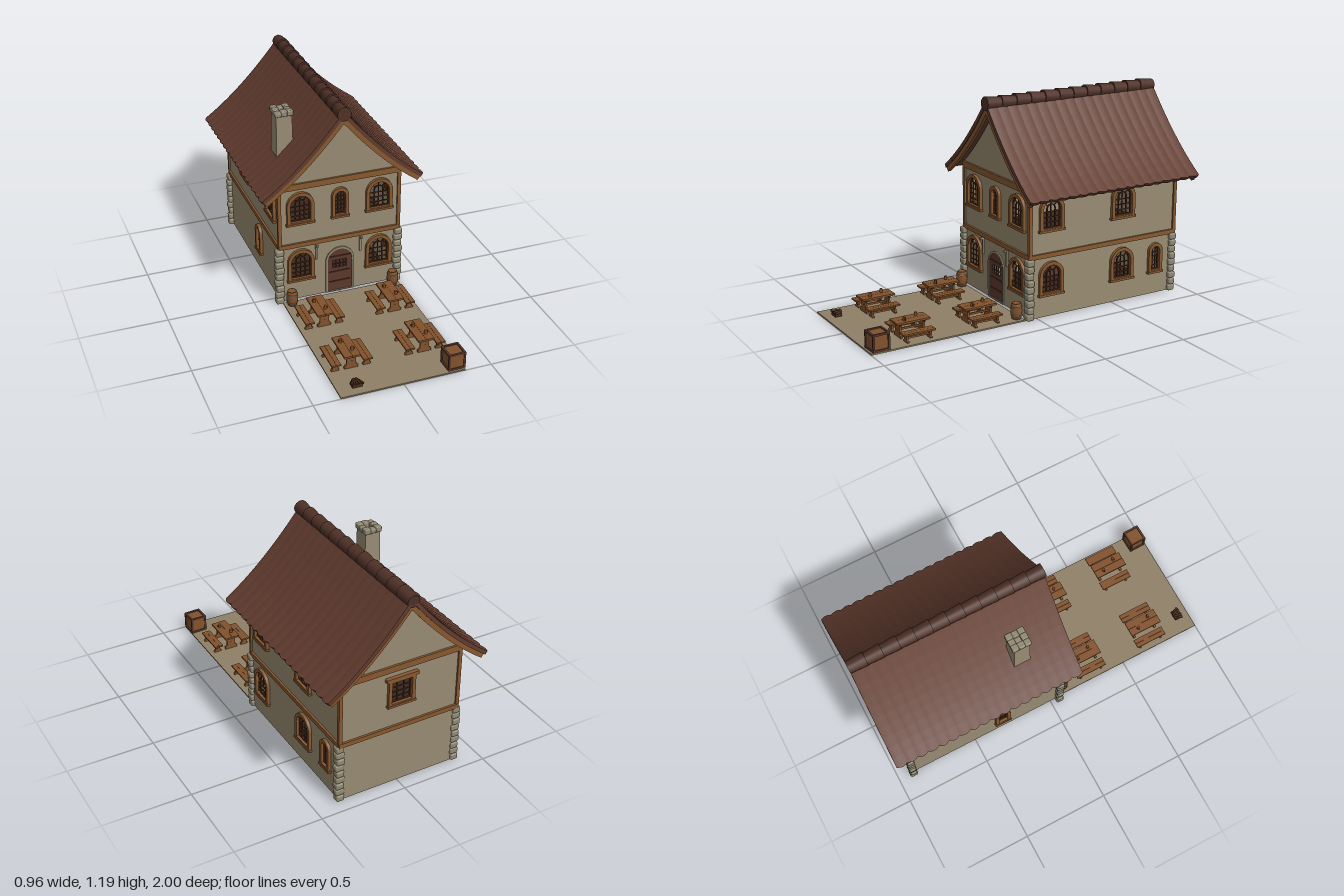
import * as THREE from 'three';
import { RoundedBoxGeometry } from 'three/addons/geometries/RoundedBoxGeometry.js';

const paint = (name, color) => Object.assign(new THREE.MeshStandardMaterial({ color }), { name });
const M = {
  plaster: paint('plaster', 0x988b72), trim: paint('timber trim', 0x87582f), roof: paint('roof tile', 0x623c2f),
  ridge: paint('ridge tile', 0x4e3026), bars: paint('dark wood', 0x4a2b1b), door: paint('door wood', 0x5c382d),
  stone: paint('stone', 0x8f8873), floor: paint('floor', 0x3a251c), ground: paint('ground', 0x8f8066),
  furniture: paint('furniture wood', 0x82522c),
};
const ZC = -0.435, HX = 0.355, HZ = 0.485;

function add(parent, name, geo, mat, x = 0, y = 0, z = 0) {
  const m = new THREE.Mesh(geo, mat);
  m.name = name;
  m.position.set(x, y, z);
  parent.add(m);
  return m;
}
const box = (p, name, mat, w, h, d, x, y, z) => add(p, name, new THREE.BoxGeometry(w, h, d), mat, x, y, z);
function group(parent, name, x = 0, y = 0, z = 0, ry = 0) {
  const g = new THREE.Group();
  g.name = name;
  g.position.set(x, y, z);
  g.rotation.y = ry;
  parent.add(g);
  return g;
}
const extrude = (shape, depth, steps = 1) =>
  new THREE.ExtrudeGeometry(shape, { depth, steps, bevelEnabled: false, curveSegments: 14 });

// Round-headed (or square) opening outline
function opening(w, h, x = 0, y = 0, square = false, P = THREE.Shape) {
  const s = new P(), r = w / 2;
  s.moveTo(x - r, y);
  s.lineTo(x + r, y);
  if (square) { s.lineTo(x + r, y + h); s.lineTo(x - r, y + h); }
  else { s.lineTo(x + r, y + h - r); s.absarc(x, y + h - r, r, 0, Math.PI, false); }
  s.closePath();
  return s;
}
function ring(w, h, t, square) {
  const s = opening(w, h, 0, 0, square);
  s.holes.push(opening(w - 2 * t, h - 2 * t, 0, t, square, THREE.Path));
  return s;
}

// Framed window with glazing bars; origin at the bottom centre
function addWindow(parent, [u, y, w, h, kind]) {
  const g = group(parent, 'window', u, y, 0), t = 0.02, square = kind === 'square';
  add(g, 'windowFrame', extrude(ring(w, h, t, square), 0.03), M.trim, 0, 0, -0.012);
  box(g, 'sill', M.trim, w + 0.01, 0.012, 0.034, 0, 0.006, 0.005);
  if (square) box(g, 'lintel', M.trim, w + 0.03, 0.02, 0.034, 0, h, 0.005);
  const iw = w - 2 * t, ih = h - 2 * t, cy = t + ih - iw / 2;
  add(g, 'barsBorder', extrude(ring(iw, ih, 0.005, square), 0.01), M.bars, 0, t, -0.008);
  const rows = kind ? 4 : 3, top = square ? ih : ih - iw / 2;
  for (let i = 1; i <= rows; i++) box(g, 'crossBar', M.bars, iw, 0.005, 0.006, 0, t + top * i / (rows + 0.4), -0.003);
  if (kind) {
    for (const s of [-1, 1]) box(g, 'uprightBar', M.bars, 0.005, ih - 0.012, 0.006, s * iw / 6, t + ih / 2 - 0.004, -0.003);
  } else {
    add(g, 'innerArch', extrude(ring(iw * 0.5, ih - iw * 0.22, 0.006), 0.008), M.bars, 0, t, -0.005);
    box(g, 'uprightBar', M.bars, 0.005, ih, 0.006, 0, t + ih / 2, -0.003);
    for (const s of [-1, 1]) {
      const b = box(g, 'fanBar', M.bars, 0.005, iw * 0.27, 0.006, s * iw * 0.26, cy + iw * 0.26, -0.003);
      b.rotation.z = -s * Math.PI / 4;
    }
  }
}

// One wall with its openings and windows; local +z faces outwards
function addWall(parent, name, shape, windows, x, z, ry, door) {
  const g = group(parent, name, x, 0, z, ry);
  for (const [u, y, w, h, k] of windows)
    shape.holes.push(opening(w - 0.02, h - 0.02, u, y + 0.01, k === 'square', THREE.Path));
  if (door) shape.holes.push(opening(0.15, 0.272, 0, 0.012, false, THREE.Path));
  add(g, 'plasterWall', extrude(shape, 0.012), M.plaster, 0, 0, -0.012);
  windows.forEach(w => addWindow(g, w));
  return g;
}

// Concave roof curve and its inward offset
const roofY = x => 1.17 - 1.27 * x + 0.62 * x * x;
function roofPoint(x, t) {
  const k = 1.27 - 1.24 * x, l = Math.hypot(k, 1);
  return x < 1e-6 ? [0, roofY(0) - t * l] : [x - t * k / l, roofY(x) - t / l];
}
function roofBand(t0, t1, reach) {
  const pts = [], n = 10;
  for (let i = -n; i <= n; i++) {
    const [x, y] = roofPoint(Math.abs(i) / n * reach, t0);
    pts.push(new THREE.Vector2(Math.sign(i) * x, y));
  }
  for (let i = n; i >= -n; i--) {
    const [x, y] = roofPoint(Math.abs(i) / n * reach, t1);
    pts.push(new THREE.Vector2(Math.sign(i) * x, y));
  }
  return new THREE.Shape(pts);
}
function gableShape() {
  const s = new THREE.Shape();
  s.moveTo(-HX, 0.004);
  s.lineTo(HX, 0.004);
  for (let i = 8; i >= -8; i--) {
    const x = Math.abs(i) / 8 * HX;
    s.lineTo(Math.sign(i) * x, roofY(x) - 0.045);
  }
  s.closePath();
  return s;
}

function addRoof(root) {
  const g = group(root, 'roof');
  // Tiled slopes: rippled along the length, scalloped at the eaves
  const geo = extrude(roofBand(0, 0.022, 0.47), 1.12, 108), p = geo.attributes.position;
  for (let i = 0; i < p.count; i++) {
    const x = p.getX(i), wave = Math.abs(Math.sin(p.getZ(i) * Math.PI * 18 / 1.12));
    const e = Math.max(0, (Math.abs(x) - 0.42) / 0.05) * 0.01 * wave;
    p.setXYZ(i, x + Math.sign(x) * e, p.getY(i) - e * 0.7 + 0.003 * wave, p.getZ(i));
  }
  geo.computeVertexNormals();
  add(g, 'tiledSlopes', geo, M.roof, 0, 0, -1);
  // Barge boards on both gables
  for (const z of [0.095, -0.99]) add(g, 'bargeBoard', extrude(roofBand(0.022, 0.048, 0.468), 0.02), M.trim, 0, 0, z);
  // Overlapping ridge tiles
  for (let i = 0; i < 12; i++) {
    const c = new THREE.CylinderGeometry(0.04, 0.035, 0.1, 16);
    c.rotateX(Math.PI / 2);
    add(g, 'ridgeTile', c, M.ridge, 0, 1.149, 0.073 - i * 0.0931).rotation.x = -0.06;
  }
}

function addChimney(root) {
  const g = group(root, 'chimney', -0.259, 0, -0.163);
  const c = new THREE.CylinderGeometry(0.064, 0.071, 0.38, 4);
  c.rotateY(Math.PI / 4);
  add(g, 'stack', c.toNonIndexed(), M.plaster, 0, 0.89, 0).geometry.computeVertexNormals();
  for (let i = 0; i < 8; i++) {
    const a = i * Math.PI / 4, k = i % 2 ? Math.SQRT2 : 1, h = i % 3 ? 0.032 : 0.026;
    add(g, 'capStone', new RoundedBoxGeometry(0.036, h, 0.038, 2, 0.006), M.stone,
      Math.cos(a) * k * 0.034, 1.078 + h / 2, Math.sin(a) * k * 0.036);
  }
}

// Trestle leg silhouette: wide foot and top with a narrow waist
function addTrestle(parent, name, w, h, len, top) {
  const g = group(parent, name), a = w * 0.42, b = w * 0.28;
  const pts = [[-a, 0], [a, 0], [a, h * 0.15], [b, h * 0.3], [b, h * 0.7], [a, h - top], [-a, h - top], [-b, h * 0.7], [-b, h * 0.3], [-a, h * 0.15]];
  const leg = new THREE.Shape(pts.map(q => new THREE.Vector2(...q)));
  for (const z of [-1, 1]) add(g, 'leg', extrude(leg, 0.012), M.furniture, 0, 0, z * len * 0.36 - 0.006);
  box(g, 'stretcher', M.furniture, 0.01, 0.01, len * 0.8, 0, h * 0.45, 0);
  for (const s of [-1, 1]) box(g, 'plank', M.furniture, w / 2 - 0.001, top, len, s * w / 4, h - top / 2, 0);
  return g;
}
function addTableSet(root, x, z) {
  const g = group(root, 'tableSet', x, 0.01, z);
  addTrestle(g, 'table', 0.092, 0.09, 0.196, 0.011);
  for (const s of [-1, 1]) {
    addTrestle(g, 'bench', 0.053, 0.05, 0.19, 0.009).position.x = s * 0.089;
    add(g, 'mug', new THREE.CylinderGeometry(0.008, 0.009, 0.02, 10), M.furniture, s * 0.018, 0.1, s * 0.042);
    box(g, 'mugHandle', M.bars, 0.005, 0.011, 0.004, s * 0.028, 0.1, s * 0.042);
  }
}

function addBarrel(root, x) {
  const g = group(root, 'barrel', x, 0.01, 0.105);
  const prof = [[0, 0], [0.026, 0], [0.031, 0.022], [0.033, 0.045], [0.031, 0.068], [0.026, 0.09], [0.023, 0.09], [0.023, 0.084], [0, 0.084]];
  add(g, 'staves', new THREE.LatheGeometry(prof.map(q => new THREE.Vector2(...q)), 16), M.furniture);
  for (const y of [0.02, 0.07]) {
    const t = new THREE.TorusGeometry(0.031, 0.0025, 6, 20);
    t.rotateX(Math.PI / 2);
    add(g, 'hoop', t, M.stone, 0, y, 0);
  }
}

function addCrate(root) {
  const g = group(root, 'crate', 0.303, 0.06, 0.942, 0.03), s = 0.044;
  box(g, 'crateBody', M.furniture, 0.084, 0.086, 0.09, 0, 0, 0);
  for (const a of [-1, 1]) for (const b of [-1, 1]) {
    box(g, 'crateEdge', M.door, 0.011, 0.098, 0.011, a * s, 0, b * s);
    box(g, 'crateEdge', M.door, 0.096, 0.011, 0.011, 0, a * s, b * s);
    box(g, 'crateEdge', M.door, 0.011, 0.011, 0.096, a * s, b * s, 0);
  }
  // Small basket of logs
  const k = group(root, 'basket', -0.24, 0.01, 0.93);
  box(k, 'basketBase', M.bars, 0.055, 0.018, 0.04, 0, 0.009, 0);
  for (let i = 0; i < 5; i++) {
    const c = new THREE.CylinderGeometry(0.006, 0.006, 0.05, 8);
    c.rotateX(Math.PI / 2);
    add(k, 'log', c, M.bars, -0.022 + i * 0.011, 0.021 + (i % 2) * 0.005, 0).rotation.y = (i - 2) * 0.2;
  }
}

export function createModel() {
  const root = new THREE.Group();
  root.name = 'inn';

  // Ground, floors and stairs
  box(root, 'yard', M.ground, 0.7, 0.008, 0.925, 0, 0.004, 0.5375);
  box(root, 'groundFloor', M.floor, 0.69, 0.01, 0.95, 0, 0.005, ZC);
  box(root, 'upperFloor', M.floor, 0.68, 0.01, 0.94, 0, 0.355, ZC);
  const st = new THREE.Shape();
  st.moveTo(0, 0);
  for (let i = 0; i < 10; i++) { st.lineTo(i * 0.04, (i + 1) * 0.034); st.lineTo((i + 1) * 0.04, (i + 1) * 0.034); }
  st.lineTo(0.4, 0);
  add(root, 'stairs', extrude(st, 0.07), M.door, -0.24, 0.01, -0.39).rotation.y = Math.PI / 2;

  // Walls and windows: [across, sill height, width, height, kind]
  const front = addWall(root, 'frontWall', gableShape(), [
    [-0.234, 0.127, 0.158, 0.202], [0.234, 0.127, 0.158, 0.202], [-0.234, 0.493, 0.158, 0.2],
    [0.234, 0.493, 0.158, 0.2], [0, 0.493, 0.1, 0.187, 'narrow']], 0, 0.05, 0, true);
  addWall(root, 'backWall', gableShape(), [[0, 0.5, 0.16, 0.17, 'square']], 0, -0.92, Math.PI);
  const side = () => opening(HZ * 2, 0.735, 0, 0.004, true);
  const upper = [-0.083, -0.555], narrow = z => [z - ZC, 0.13, 0.095, 0.18, 'narrow'];
  const flip = w => [-w[0], ...w.slice(1)];
  const upperRow = upper.map(z => [z - ZC, 0.493, 0.156, 0.2]);
  addWall(root, 'leftWall', side(), [...upperRow, ...upper.map(z => [z - ZC, 0.127, 0.156, 0.195]), narrow(-0.79)].map(flip), HX, ZC, Math.PI / 2);
  addWall(root, 'rightWall', side(), [...upperRow, narrow(-0.32)], -HX, ZC, -Math.PI / 2);

  // Arched door with a barred peephole
  const leaf = opening(0.148, 0.272, 0, 0.011);
  leaf.holes.push(opening(0.084, 0.05, 0, 0.16, true, THREE.Path));
  add(front, 'door', extrude(leaf, 0.014), M.door, 0, 0, -0.012);
  for (let i = -1; i <= 1; i++) box(front, 'peepholeBar', M.bars, 0.005, 0.05, 0.006, i * 0.021, 0.185, 0);
  box(front, 'peepholeBar', M.bars, 0.084, 0.005, 0.006, 0, 0.185, 0);
  for (const y of [0.07, 0.135, 0.235]) box(front, 'doorBand', M.bars, 0.13, 0.008, 0.006, 0, y, 0.003);
  const arch = opening(0.17, 0.29, 0, 0.006);
  arch.holes.push(opening(0.148, 0.272, 0, 0.0115, false, THREE.Path));
  add(front, 'doorSurround', extrude(arch, 0.014), M.stone, 0, 0, -0.006);
  for (const x of [-0.14, 0.124]) {
    box(front, 'bracketPost', M.plaster, 0.012, 0.1, 0.01, x, 0.295, 0.005);
    box(front, 'bracketArm', M.plaster, 0.01, 0.012, 0.026, x, 0.338, 0.013);
  }

  // Timber belts, gable beams and corner posts
  for (const z of [0.05, -0.92]) {
    box(root, 'beltBeam', M.trim, 0.726, 0.026, 0.024, 0, 0.36, z);
    box(root, 'gableBeam', M.trim, 0.73, 0.036, 0.024, 0, 0.73, z);
    for (const s of [-1, 1]) box(root, 'cornerPost', M.trim, 0.02, 0.36, 0.02, s * 0.355, 0.55, z);
  }
  for (const s of [-1, 1]) box(root, 'sideBelt', M.trim, 0.024, 0.026, 0.97, s * HX, 0.36, ZC);

  // Corner stones
  for (const [x, z] of [[-0.362, 0.052], [0.352, 0.052], [-0.358, -0.909], [0.352, -0.909]])
    for (let i = 0; i < 9; i++) {
      const w = 0.046 + (i % 2) * 0.006, d = 0.046 - (i % 2) * 0.006;
      add(root, 'cornerStone', new RoundedBoxGeometry(w, 0.038, d, 2, 0.01), M.stone,
        x + ((i * 7) % 3 - 1) * 0.002, 0.02 + i * 0.039, z);
    }

  addRoof(root);
  addChimney(root);
  for (const x of [-0.21, 0.21]) for (const z of [0.296, 0.706]) addTableSet(root, x, z);
  for (const x of [-0.306, 0.306]) addBarrel(root, x);
  addCrate(root);
  return root;
}
